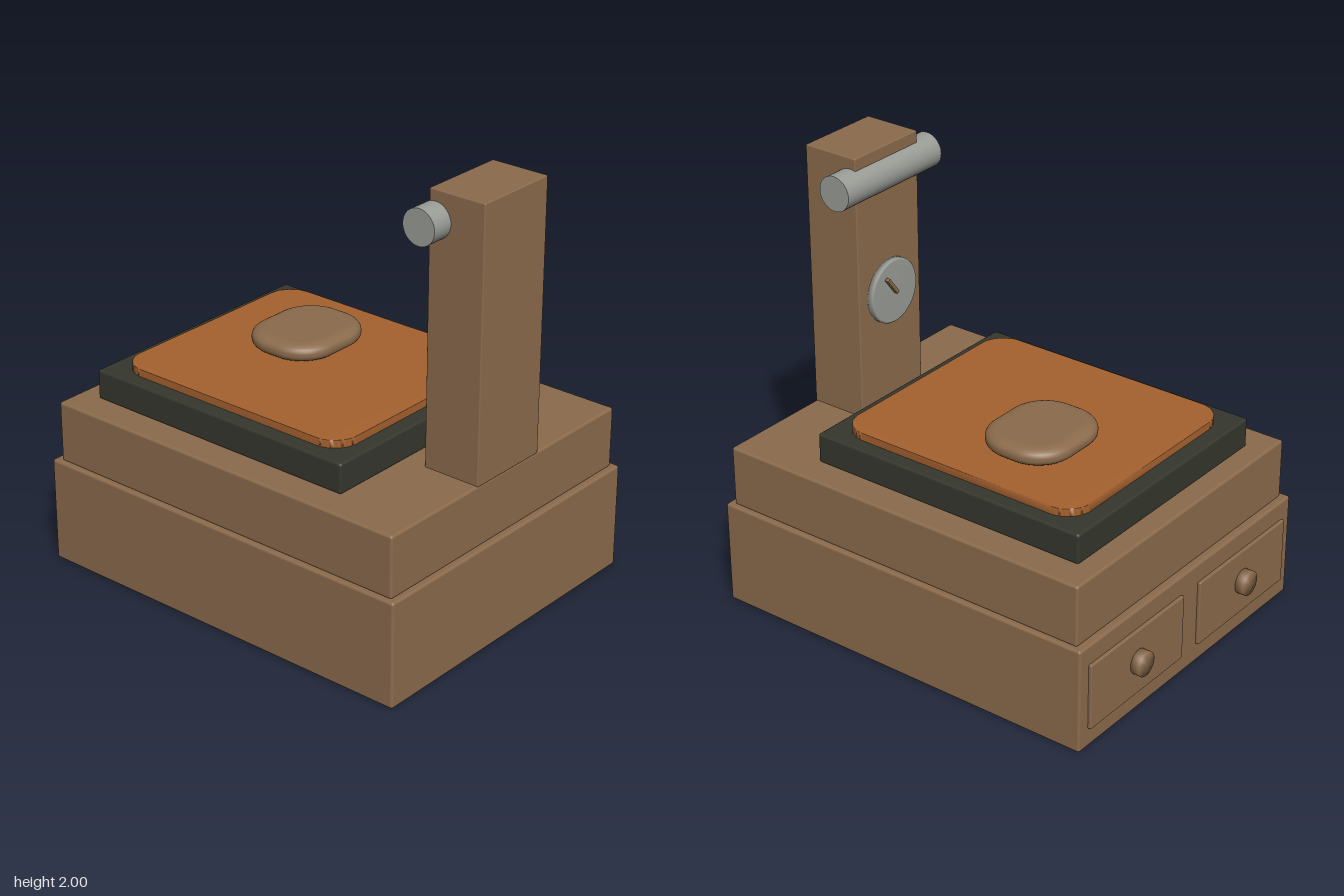
import * as THREE from 'three';
import { mergeVertices } from 'three/addons/utils/BufferGeometryUtils.js';
import { RoundedBoxGeometry } from 'three/addons/geometries/RoundedBoxGeometry.js';

const flat = (name, color) => {
  const m = new THREE.MeshStandardMaterial({ color });
  m.name = name;
  return m;
};

// Rounded rectangle centred on the origin
function roundedRect(w, h, r) {
  const s = new THREE.Shape();
  const x = w / 2, y = h / 2;
  s.moveTo(-x + r, -y);
  s.lineTo(x - r, -y);
  s.absarc(x - r, -y + r, r, -Math.PI / 2, 0);
  s.lineTo(x, y - r);
  s.absarc(x - r, y - r, r, 0, Math.PI / 2);
  s.lineTo(-x + r, y);
  s.absarc(-x + r, y - r, r, Math.PI / 2, Math.PI);
  s.lineTo(-x, -y + r);
  s.absarc(-x + r, -y + r, r, Math.PI, Math.PI * 1.5);
  return s;
}

// Weld corners so that normals run smoothly over every edge
function smooth(geometry) {
  geometry.deleteAttribute('normal');
  geometry.deleteAttribute('uv');
  const g = mergeVertices(geometry, 1e-4);
  g.computeVertexNormals();
  return g;
}

export function createModel() {
  const wood = flat('wood', 0x8b6b4c);
  const copper = flat('copper', 0xa5612f);
  const slate = flat('dark slate', 0x35372e);
  const steel = flat('steel', 0x9a9c96);
  const model = new THREE.Group();
  model.name = 'deskInstrument';

  function add(name, geometry, material, x = 0, y = 0, z = 0) {
    const mesh = new THREE.Mesh(geometry, material);
    mesh.name = name;
    mesh.position.set(x, y, z);
    model.add(mesh);
    return mesh;
  }

  // Softly rounded block given by its extents
  function block(name, material, [x0, x1], [y0, y1], [z0, z1], r = 0.012) {
    const g = new RoundedBoxGeometry(x1 - x0, y1 - y0, z1 - z0, 2, r);
    return add(name, g, material, (x0 + x1) / 2, (y0 + y1) / 2, (z0 + z1) / 2);
  }

  // Stepped body
  block('base', wood, [-0.78, 0.78], [0, 0.49], [-0.935, 0.985]);
  block('upperBody', wood, [-0.755, 0.755], [0.485, 0.77], [-0.9, 0.955]);
  block('plateFrame', slate, [-0.615, 0.615], [0.765, 0.905], [-0.8, 0.575]);
  block('post', wood, [-0.205, 0.205], [0.765, 2], [0.68, 0.955], 0.006);

  // Copper plate with rounded corners
  const plate = new THREE.ExtrudeGeometry(roundedRect(1.095, 1.23, 0.12), {
    depth: 0.04, bevelEnabled: false, curveSegments: 8,
  });
  plate.rotateX(-Math.PI / 2);
  add('copperPlate', smooth(plate), copper, 0, 0.9, -0.11);

  // Pillow-shaped hand pad
  const pad = new THREE.ExtrudeGeometry(roundedRect(0.37, 0.3, 0.12), {
    depth: 0.012, bevelThickness: 0.034, bevelSize: 0.055, bevelSegments: 6, curveSegments: 10,
  });
  pad.rotateX(-Math.PI / 2);
  add('handPad', smooth(pad), wood, 0.135, 0.974, -0.255);

  // Cross bar through the post
  const bar = new THREE.CylinderGeometry(0.08, 0.08, 0.615, 32);
  bar.rotateZ(Math.PI / 2);
  add('crossBar', bar, steel, 0, 1.87, 0.71);

  // Dial with a slanted pointer on the inner face of the post
  const profile = [[0, -0.02], [0.15, -0.02], [0.15, 0.012], [0.146, 0.016], [0.14, 0.018], [0, 0.018]];
  const dial = new THREE.LatheGeometry(profile.map(([r, y]) => new THREE.Vector2(r, y)), 40);
  dial.rotateX(-Math.PI / 2);
  add('dial', dial, steel, 0, 1.32, 0.668);
  const pointer = add('dialPointer', new THREE.BoxGeometry(0.016, 0.1, 0.02), wood, 0.035, 1.362, 0.635);
  pointer.rotation.z = -0.65;

  // Two drawers with round knobs at the back
  for (const side of [-1, 1]) {
    const prefix = side > 0 ? 'left' : 'right';
    block(prefix + 'Drawer', wood, [side * 0.39 - 0.33, side * 0.39 + 0.33], [0.09, 0.4], [-0.95, -0.92], 0.006);
    const knob = new THREE.CylinderGeometry(0.057, 0.057, 0.045, 28);
    knob.rotateX(Math.PI / 2);
    add(prefix + 'Knob', smooth(knob), wood, side * 0.39, 0.25, -0.968);
  }
  return model;
}
